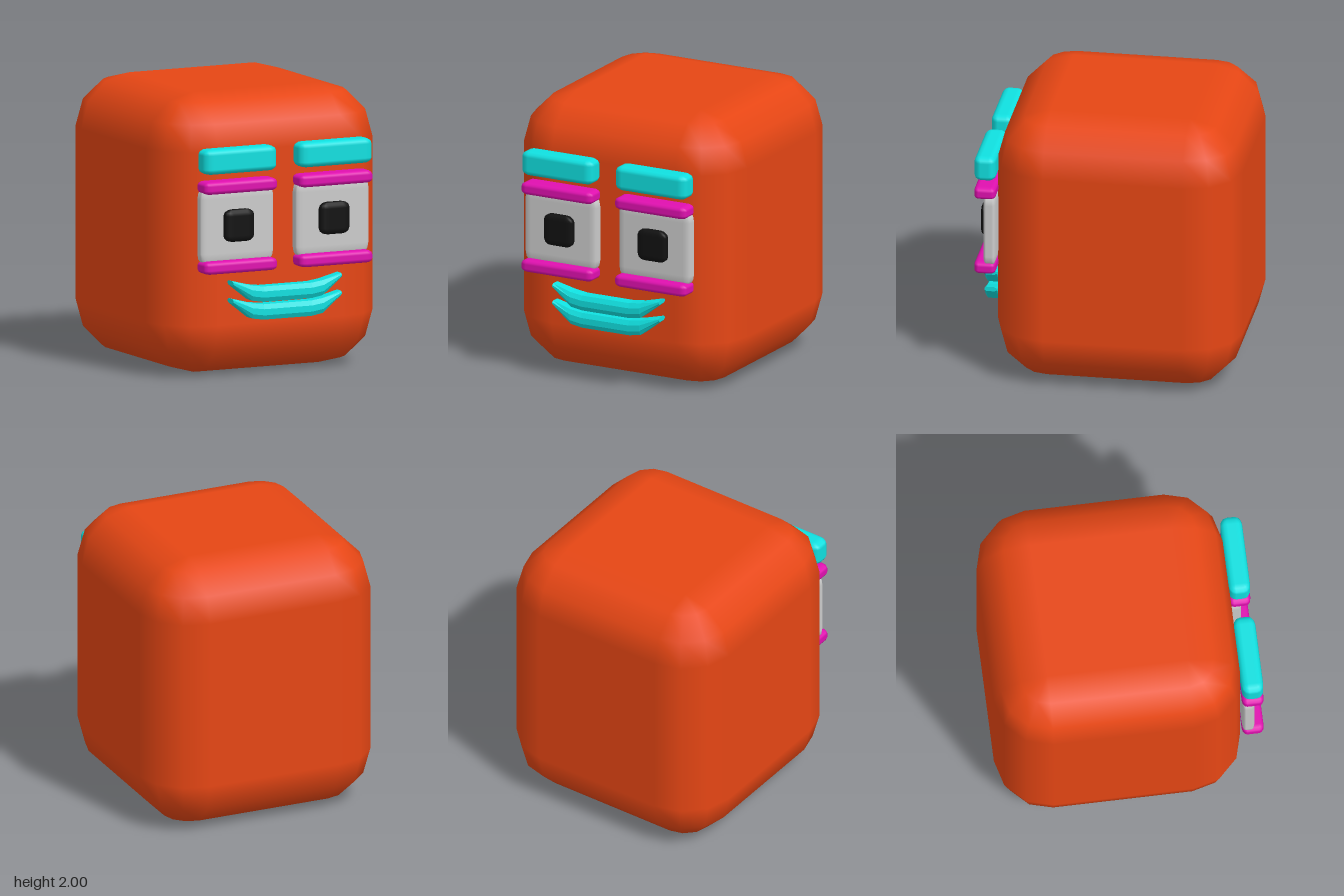
import * as THREE from 'three';

const orange = new THREE.MeshStandardMaterial({ color: 0xe64614 });
const cyan = new THREE.MeshStandardMaterial({ color: 0x10e0e0 });
const magenta = new THREE.MeshStandardMaterial({ color: 0xe010b0 });
const black = new THREE.MeshStandardMaterial({ color: 0x111111 });
const grey = new THREE.MeshStandardMaterial({ color: 0xcccccc });
const lipMaterial = new THREE.MeshStandardMaterial({ color: 0x10e0e0, flatShading: true });

// Box with three-step rounded edges: a sphere grid pulled apart at its octants.
// min, max: corners of the box; radii: rounding along x, y and z.
function softBox(name, material, min, max, radii) {
  const geo = new THREE.SphereGeometry(1, 16, 9);
  const pos = geo.attributes.position, nor = geo.attributes.normal;
  const mid = min.map((v, i) => (v + max[i]) / 2);
  const core = min.map((v, i) => (max[i] - v) / 2 - radii[i]);
  const step = Math.PI / 6;
  for (let row = 0; row <= 9; row++) {
    const up = row < 5 ? 1 : -1;
    const pole = row === 0 || row === 9;
    const lat = pole ? up * Math.PI / 2 : (up > 0 ? 4 - row : 5 - row) * step;
    for (let col = 0; col <= 16; col++) {
      const c = col % 16, quad = Math.floor(c / 4);
      const a = quad * Math.PI / 2 + (c % 4) * step;
      const n = new THREE.Vector3(-Math.cos(a) * Math.cos(lat), Math.sin(lat), Math.sin(a) * Math.cos(lat));
      const sx = pole ? 0 : quad === 0 || quad === 3 ? -1 : 1;
      const sz = pole ? 0 : quad < 2 ? 1 : -1;
      const i = row * 17 + col;
      pos.setXYZ(i,
        mid[0] + sx * core[0] + n.x * radii[0],
        mid[1] + up * core[1] + n.y * radii[1],
        mid[2] + sz * core[2] + n.z * radii[2]);
      n.set(n.x / radii[0], n.y / radii[1], n.z / radii[2]).normalize();
      nor.setXYZ(i, n.x, n.y, n.z);
    }
  }
  const mesh = new THREE.Mesh(geo, material);
  mesh.name = name;
  return mesh;
}

// Curved lip: an eight-sided section lofted along x.
function lip(name, drop) {
  // x, bottom, top, half depth
  const half = [[0.19, 0.545, 0.655, 0.06], [0.28, 0.56, 0.667, 0.06], [0.43, 0.675, 0.707, 0.043]];
  const stations = [...half.map(([x, ...r]) => [-x, ...r]).reverse(), ...half];
  const ring = [[1, -0.4], [1, 0.4], [0.7, 1], [-0.7, 1], [-1, 0.4], [-1, -0.4], [-0.7, -1], [0.7, -1]];
  const n = ring.length, verts = [], index = [];
  for (const [x, y0, y1, d] of stations) {
    for (const [z, y] of ring) {
      verts.push(x, (y0 + y1) / 2 + y * (y1 - y0) / 2 - drop, 0.865 + z * d);
    }
  }
  for (let s = 0; s < stations.length - 1; s++) {
    for (let k = 0; k < n; k++) {
      const a = s * n + k, b = s * n + (k + 1) % n;
      index.push(a, a + n, b, b, a + n, b + n);
    }
  }
  // end caps
  const last = (stations.length - 1) * n;
  for (let k = 1; k < n - 1; k++) {
    index.push(0, k, k + 1, last, last + k + 1, last + k);
  }
  const geo = new THREE.BufferGeometry();
  geo.setAttribute('position', new THREE.Float32BufferAttribute(verts, 3));
  geo.setIndex(index);
  geo.computeVertexNormals();
  const mesh = new THREE.Mesh(geo, lipMaterial);
  mesh.name = name;
  return mesh;
}

// Eye set around x = 0, moved to either side of the face
function eyeSet(name, x) {
  const g = new THREE.Group();
  g.name = name;
  const w = 0.29;
  g.add(
    softBox('eyebrow', cyan, [-w, 1.48, 0.795], [w, 1.66, 0.95], [0.065, 0.04, 0.05]),
    softBox('upperEyelid', magenta, [-w, 1.34, 0.795], [w, 1.43, 0.95], [0.05, 0.03, 0.035]),
    softBox('lowerEyelid', magenta, [-w, 0.77, 0.795], [w, 0.86, 0.95], [0.05, 0.03, 0.035]),
    softBox('eyeball', grey, [-w, 0.83, 0.795], [w, 1.38, 0.885], [0.055, 0.08, 0.025]),
    softBox('pupil', black, [-0.117, 0.99, 0.84], [0.117, 1.22, 0.93], [0.06, 0.045, 0.025])
  );
  g.position.x = x;
  return g;
}

export function createModel() {
  const model = new THREE.Group();
  model.name = 'blockHead';
  model.add(
    softBox('head', orange, [-0.875, 0, -0.95], [0.875, 2, 0.8], [0.38, 0.38, 0.38]),
    eyeSet('leftEye', 0.375),
    eyeSet('rightEye', -0.38),
    lip('upperLip', 0),
    lip('lowerLip', 0.127)
  );
  return model;
}
